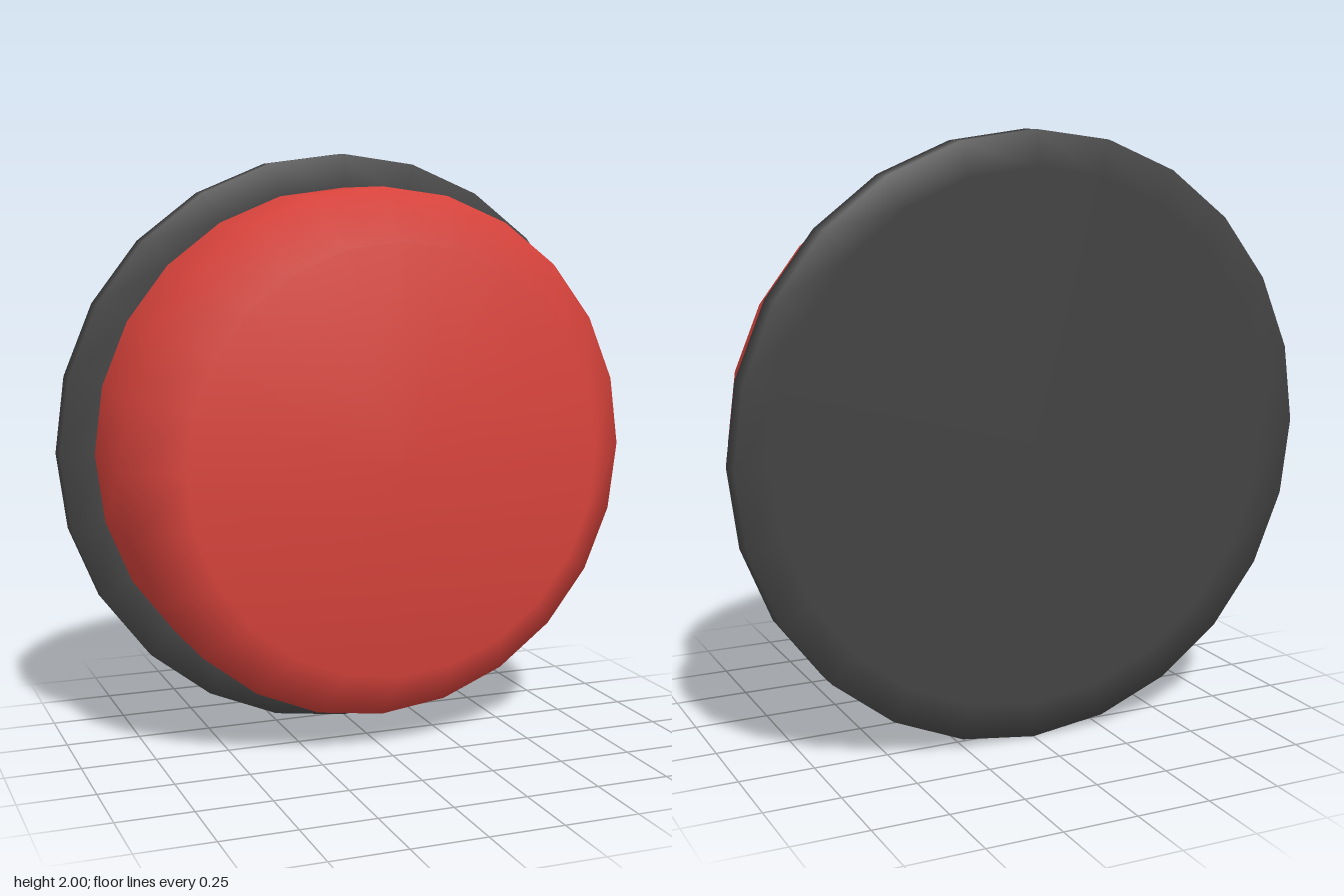
import * as THREE from 'three';

const SIDES = 24;

// Turns a [radius, z] profile around the z axis, with smooth normals.
function turned(name, profile, material) {
  const points = profile.map(([r, z]) => new THREE.Vector2(r, z));
  const geometry = new THREE.LatheGeometry(points, SIDES);
  geometry.rotateX(Math.PI / 2);
  const mesh = new THREE.Mesh(geometry, material);
  mesh.name = name;
  mesh.position.y = 1;
  return mesh;
}

export function createModel() {
  const red = new THREE.MeshStandardMaterial({ color: 0xd8433c });
  red.name = 'red';
  const darkGrey = new THREE.MeshStandardMaterial({ color: 0x424242 });
  darkGrey.name = 'dark grey';

  const group = new THREE.Group();
  group.name = 'roundButton';

  // Flat backing disc whose flange stands proud of the cap
  group.add(turned('backPlate', [
    [0, -0.313], [0.885, -0.313], [1, -0.313], [1, -0.225], [0.885, -0.225],
  ], darkGrey));

  // Domed cap with a chamfered front edge
  group.add(turned('cap', [
    [0.885, -0.225], [0.885, 0.147], [0.71, 0.313], [0, 0.313],
  ], red));

  return group;
}
